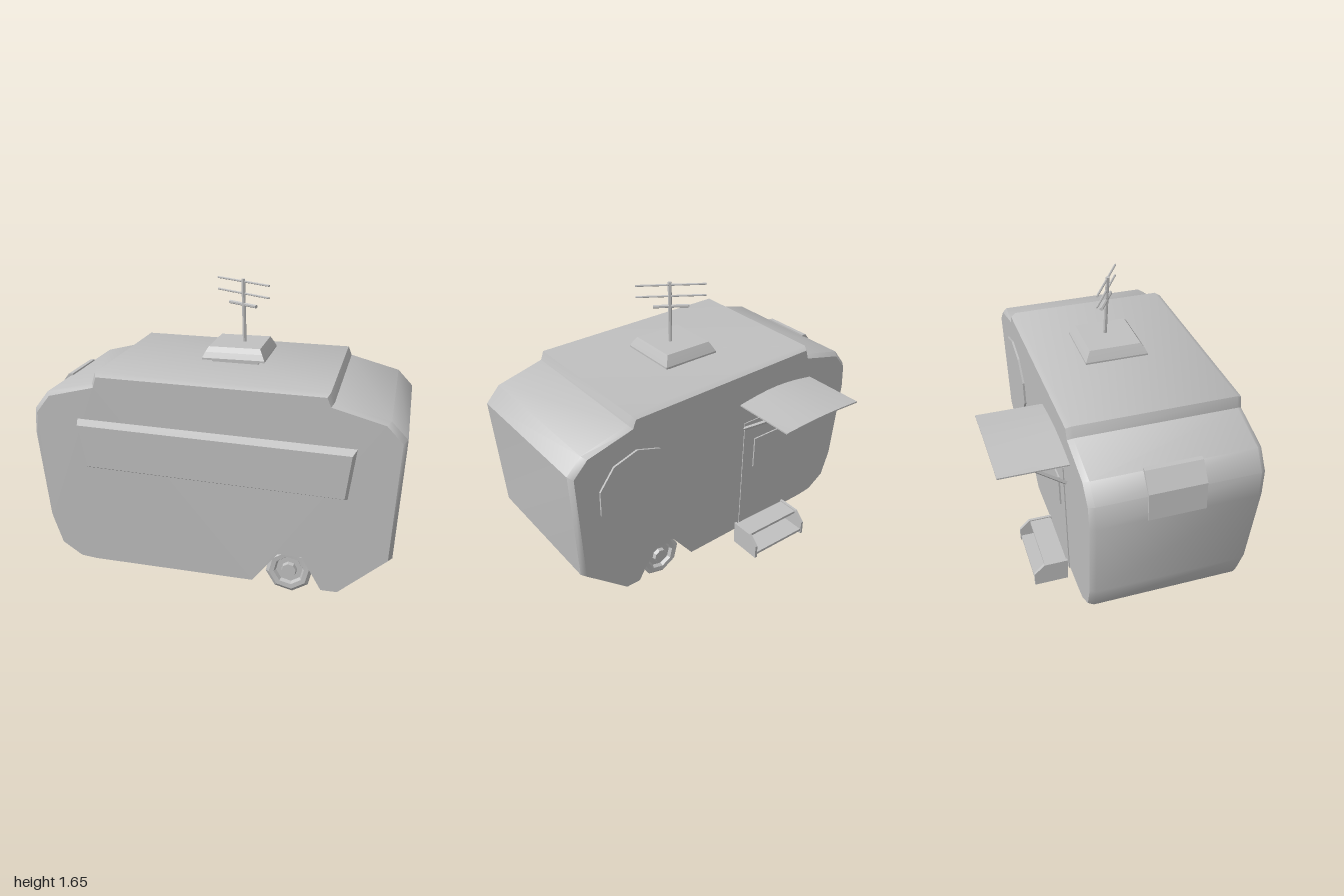
import * as THREE from 'three';
import { toCreasedNormals } from 'three/addons/utils/BufferGeometryUtils.js';

const grey = new THREE.MeshStandardMaterial({ color: 0xc0c0c0, side: THREE.DoubleSide });
grey.name = 'plain grey';

// the side walls lean and taper slightly
const zFront = (x, y) => 0.61 + 0.035 * (y - 0.1) + 0.005 * x;
const zBack = (x, y) => -0.285 - 0.03 * (y - 0.1) - 0.013 * x;

// skin between rings of [x, y, z] points
function loft(rings, { closed = true, caps = true } = {}) {
  const n = rings[0].length, index = [];
  for (let r = 0; r < rings.length - 1; r++) {
    for (let i = 0; i < (closed ? n : n - 1); i++) {
      const j = (i + 1) % n, a = r * n + i, b = r * n + j;
      index.push(a, b, a + n, b, b + n, a + n);
    }
  }
  const last = (rings.length - 1) * n;
  if (closed && caps) for (let i = 1; i < n - 1; i++) {
    index.push(0, i + 1, i, last, last + i, last + i + 1);
  }
  const g = new THREE.BufferGeometry();
  g.setAttribute('position', new THREE.Float32BufferAttribute(rings.flat(2), 3));
  g.setIndex(index);
  return g;
}

// move the vertices of a geometry by a rule
function warp(g, rule) {
  const p = g.attributes.position, v = new THREE.Vector3();
  for (let i = 0; i < p.count; i++) {
    rule(v.fromBufferAttribute(p, i));
    p.setXYZ(i, v.x, v.y, v.z);
  }
  return g;
}
const onWall = (g, wall) => warp(g, v => { v.z += wall(v.x, v.y); });

const shapeOf = pts => new THREE.Shape(pts.map(p => new THREE.Vector2(...p)));
const extrude = (pts, depth) =>
  new THREE.ExtrudeGeometry(shapeOf(pts), { depth, bevelEnabled: false });
const box = (w, h, d, x, y, z) => new THREE.BoxGeometry(w, h, d).translate(x, y, z);

// straight bar between two points
function bar(a, b, r, sides = 4) {
  const A = new THREE.Vector3(...a), B = new THREE.Vector3(...b);
  const dir = B.clone().sub(A), len = dir.length();
  const g = new THREE.CylinderGeometry(r, r, len, sides);
  g.applyQuaternion(new THREE.Quaternion().setFromUnitVectors(
    new THREE.Vector3(0, 1, 0), dir.normalize()));
  return g.translate(...A.add(B).multiplyScalar(0.5).toArray());
}

export function createModel() {
  const model = new THREE.Group();
  model.name = 'caravan';
  const add = (name, g, crease = 0.1) => {
    const m = new THREE.Mesh(toCreasedNormals(g, crease), grey);
    m.name = name;
    model.add(m);
    return m;
  };

  // body shell, open underneath
  const shell = [[0.61, 0.09], [0.7, 0.09], [0.96, 0.32], [0.995, 0.99], [0.91, 1.08], [0.63, 1.155],
    [0.61, 1.205], [-0.62, 1.225], [-0.64, 1.165], [-0.9, 1.1], [-0.98, 1.0], [-0.992, 0.86],
    [-0.95, 0.36], [-0.9, 0.2], [-0.79, 0.125], [-0.7, 0.115]];
  const arch = [[0.22, 0.1], [0.36, 0.28], [0.49, 0.28], [0.605, 0.09]];
  const inset = shell.map(([x, y]) => [x * 0.978, 0.1 + (y - 0.1) * 0.985]);
  const ring = (pts, wall, dz) => pts.map(([x, y]) => [x, y, wall(x, y) + dz]);
  add('bodyShell', loft([ring(inset, zBack, 0), ring(shell, zBack, 0.03),
    ring(shell, zFront, -0.03), ring(inset, zFront, 0)], { closed: false }), 0.78);

  // side walls with wheel cutouts
  const wallOutline = [...inset, ...arch];
  for (const [name, wall, inward] of [['frontWall', zFront, -0.14], ['backWall', zBack, 0.14]]) {
    add(name, onWall(new THREE.ShapeGeometry(shapeOf(wallOutline)), wall));
    add(name + 'WheelArch', loft([ring(arch, wall, 0), ring(arch, wall, inward)], { closed: false }));
  }

  // serving hatch on the front wall
  add('servingHatch', onWall(loft([
    [[-0.73, 0.975, -0.01], [0.76, 0.935, -0.01], [0.72, 0.64, -0.01], [-0.69, 0.685, -0.01]],
    [[-0.715, 0.945, 0.042], [0.735, 0.905, 0.042], [0.705, 0.667, 0.042], [-0.675, 0.712, 0.042]],
  ]), zFront));

  // wheels with stepped rims
  const tyre = [[0, -0.032], [0.105, -0.032], [0.132, -0.022], [0.132, 0.02], [0.112, 0.034],
    [0.085, 0.032], [0.075, 0.012], [0.045, 0.012], [0.04, 0.034], [0, 0.034]]
    .map(p => new THREE.Vector2(...p));
  for (const [name, z, s] of [['frontWheel', 0.5, 1], ['backWheel', -0.205, -1]]) {
    const g = new THREE.LatheGeometry(tyre, 8).rotateY(0.15).rotateX(s * Math.PI / 2);
    add(name, g.translate(0.41, 0.137, z));
  }

  // roof vent
  const square = (x0, x1, z0, z1, y) => [[x0, y, z0], [x1, y, z0], [x1, y, z1], [x0, y, z1]];
  add('ventBase', box(0.26, 0.06, 0.26, 0.04, 1.215, 0.11));
  add('ventLid', loft([square(-0.13, 0.215, -0.06, 0.3, 1.24), square(-0.13, 0.215, -0.06, 0.3, 1.25),
    square(-0.115, 0.2, -0.045, 0.285, 1.28), square(-0.1, 0.185, -0.03, 0.265, 1.307)]));

  // aerial
  add('aerialMast', bar([0.066, 1.3, 0.11], [0.058, 1.655, 0.118], 0.011, 6));
  for (const [y, k, r] of [[1.64, 1, 0.006], [1.575, 1, 0.006], [1.515, 0.52, 0.01]]) {
    add('aerialBar', bar([0.055 - 0.165 * k, y, 0.11 - 0.105 * k],
      [0.055 + 0.165 * k, y, 0.11 + 0.105 * k], r, 6));
  }

  // door, its window and the round window on the back wall
  add('door', onWall(box(0.37, 0.78, 0.012, -0.335, 0.49, 0), zBack));
  add('doorWindow', onWall(box(0.21, 0.2, 0.03, -0.335, 0.647, 0), zBack));
  add('roundWindow', onWall(new THREE.CylinderGeometry(0.245, 0.245, 0.024, 10)
    .rotateX(Math.PI / 2).translate(0.6, 0.765, 0), zBack));

  // arched awning over the door, with struts
  const awningRow = (z, rise, y) => Array.from({ length: 9 }, (_, i) => {
    const t = i / 8;
    return [-0.66 + 0.55 * t, y + rise * Math.sin(Math.PI * t), z - 0.01 * t];
  });
  const slab = (z, rise) => [...awningRow(z, rise, 1.017), ...awningRow(z, rise, 1.009).reverse()];
  add('awning', loft([slab(-0.29, 0.03), slab(-0.68, 0.01)], { caps: false }), 0.5);
  add('awningEdge', loft([awningRow(-0.68, 0.01, 1.017), awningRow(-0.68, 0.01, 1.009)],
    { closed: false }));
  for (const x of [-0.6, -0.15]) {
    add('awningStrut', bar([x, 0.845, -0.31], [x, 1.012, -0.53], 0.011));
  }

  // entry step
  const side = [[0.29, 0.015], [0.49, 0.015], [0.49, 0.1], [0.43, 0.16], [0.29, 0.16]];
  for (const x of [-0.507, -0.123]) {
    add('stepSide', extrude(side, 0.016).rotateY(Math.PI / 2).translate(x - 0.008, 0, 0));
  }
  add('upperTread', box(0.384, 0.016, 0.13, -0.315, 0.145, -0.36));
  add('lowerTread', box(0.384, 0.016, 0.19, -0.315, 0.04, -0.39));

  // window wrapped over the rounded end
  add('endWindow', extrude([[-0.89, 1.112], [-0.915, 1.11], [-0.988, 1.015], [-1.002, 0.86],
    [-0.97, 0.84], [-0.89, 1.0]], 0.31));

  // mirror the extruded step sides to stand behind the back wall
  model.children.filter(m => m.name === 'stepSide').forEach(m => {
    m.geometry.computeBoundingBox();
    if (m.geometry.boundingBox.max.z > 0) warp(m.geometry, v => { v.z = -Math.abs(v.z); });
  });
  return model;
}
